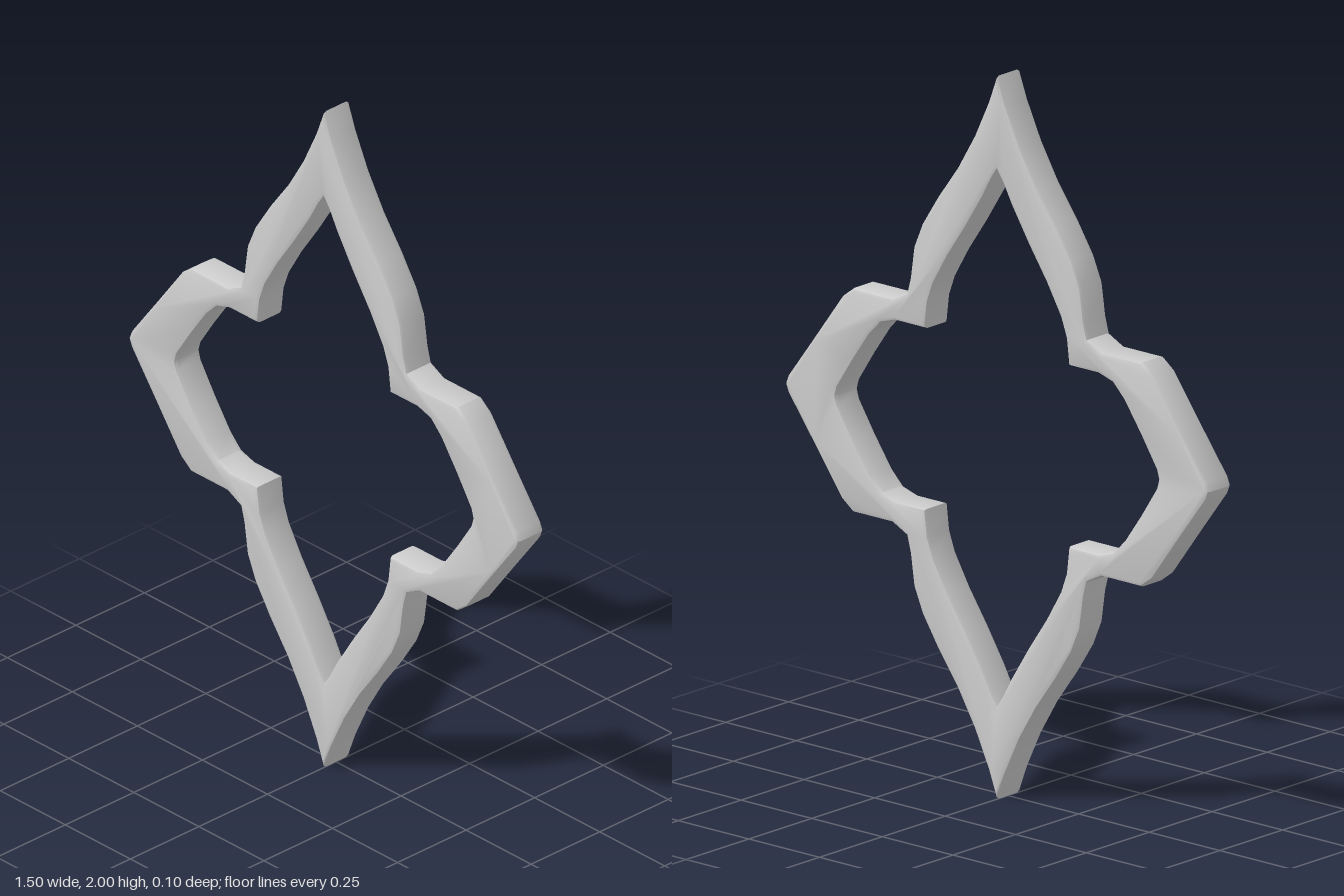
import * as THREE from 'three';
import { toCreasedNormals } from 'three/addons/utils/BufferGeometryUtils.js';

// One quadrant of each outline, from the top tip to the side tip, about the centre
const OUTER = [
  [0, 1], [0.03, 0.925], [0.08, 0.82], [0.14, 0.72], [0.21, 0.625], [0.265, 0.54],
  [0.295, 0.47], [0.308, 0.38], [0.32, 0.335], [0.37, 0.31], [0.51, 0.31],
  [0.55, 0.28], [0.65, 0.145], [0.74, 0.025], [0.75, 0],
];
const INNER = [
  [0, 0.74], [0.02, 0.71], [0.05, 0.655], [0.11, 0.56], [0.175, 0.465], [0.225, 0.38],
  [0.245, 0.325], [0.254, 0.25], [0.36, 0.25], [0.41, 0.235], [0.45, 0.195],
  [0.51, 0.11], [0.565, 0.025], [0.572, 0],
];

// Mirror a quadrant into a closed, clockwise four-pointed outline
function mirrorOutline(quarter) {
  const half = [...quarter, ...quarter.slice(0, -1).reverse().map(([x, y]) => [x, -y])];
  const other = half.slice(1, -1).reverse().map(([x, y]) => [-x, y]);
  return [...half, ...other].map(([x, y]) => new THREE.Vector2(x, y + 1));
}

export function createModel() {
  const group = new THREE.Group();
  group.name = 'starFrame';

  // Flat band with softly rounded edges; the opening runs opposite to the rim
  const shape = new THREE.Shape(mirrorOutline(OUTER).reverse());
  shape.holes.push(new THREE.Path(mirrorOutline(INNER)));
  const depth = 0.096, bevel = 0.012;
  const geometry = new THREE.ExtrudeGeometry(shape, {
    depth: depth - 2 * bevel,
    bevelEnabled: true,
    bevelThickness: bevel,
    bevelSize: bevel,
    bevelOffset: -bevel,
    bevelSegments: 2,
  });
  geometry.translate(0, 0, bevel - depth / 2);

  const frame = new THREE.Mesh(
    toCreasedNormals(geometry, 0.6),
    new THREE.MeshStandardMaterial({ color: 0xcccccc }),
  );
  frame.name = 'fourPointedFrame';
  group.add(frame);
  return group;
}
